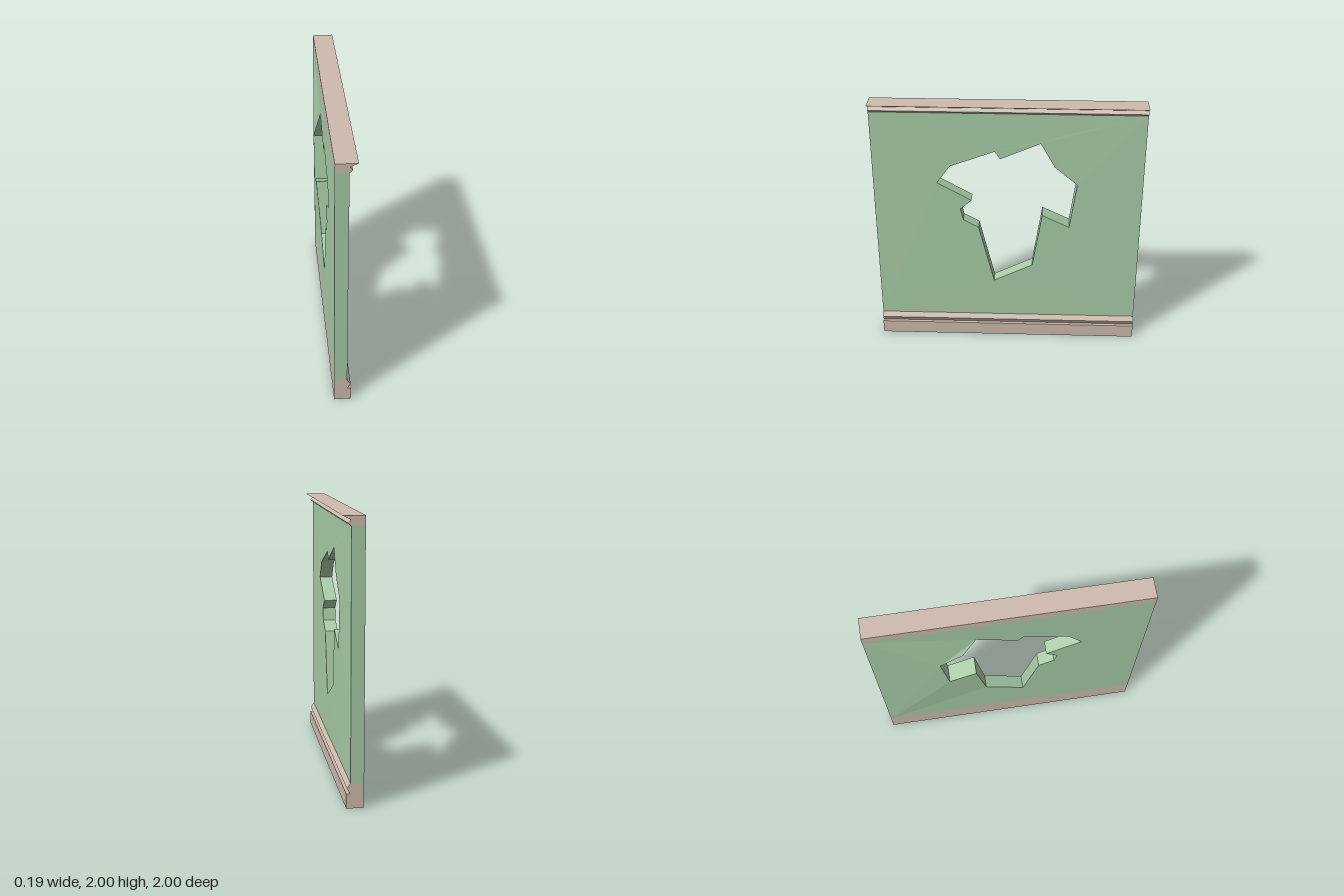
import * as THREE from 'three';

const plaster = new THREE.MeshStandardMaterial({ color: 0xa9cca7, flatShading: true });
const trim = new THREE.MeshStandardMaterial({ color: 0xcdbbad, flatShading: true });

const BACK = -0.06, FRONT = 0.034, BOTTOM = 0.18, TOP = 1.93;

// Outline of the broken opening as [z, y]
const opening = [
  [0.095, 1.63], [0.055, 1.57], [-0.24, 1.7], [-0.345, 1.51], [-0.515, 1.365],
  [-0.465, 1.0], [-0.26, 1.1], [-0.19, 0.655], [0.105, 0.505], [0.22, 0.985],
  [0.335, 1.05], [0.355, 1.145], [0.27, 1.22], [0.525, 1.365], [0.425, 1.505],
];

const toPoints = (list) => list.map(([x, y]) => new THREE.Vector2(x, y));

// Wall slab: drawn in the (-z, y) plane, extruded along x
function createPanel() {
  const shape = new THREE.Shape(toPoints([[-1, BOTTOM], [1, BOTTOM], [1, TOP], [-1, TOP]]));
  shape.holes.push(new THREE.Path(toPoints(opening.map(([z, y]) => [-z, y]))));
  const geometry = new THREE.ExtrudeGeometry(shape, { depth: FRONT - BACK, bevelEnabled: false });
  geometry.rotateY(Math.PI / 2).translate(BACK, 0, 0);

  // Push the rim of the opening outwards: a little in front, more at one side of the back
  const p = geometry.attributes.position;
  for (let i = 0; i < p.count; i++) {
    const z = p.getZ(i), y = p.getY(i);
    if (Math.abs(z) > 0.9) continue;
    if (p.getX(i) > 0) p.setX(i, FRONT + 0.004);
    else if (z < -0.25 && y < 1.6) p.setX(i, BACK - 0.034);
  }
  geometry.computeVertexNormals();
  const mesh = new THREE.Mesh(geometry, plaster);
  mesh.name = 'wallPanel';
  return mesh;
}

// Moulding: an (x, y) profile run along the full wall length
function createMoulding(name, profile) {
  const geometry = new THREE.ExtrudeGeometry(new THREE.Shape(toPoints(profile)), {
    depth: 2, bevelEnabled: false,
  });
  geometry.translate(0, 0, -1);
  const mesh = new THREE.Mesh(geometry, trim);
  mesh.name = name;
  return mesh;
}

export function createModel() {
  const group = new THREE.Group();
  group.name = 'brokenWall';
  group.add(
    createPanel(),
    createMoulding('baseboard', [
      [BACK, 0], [0.064, 0], [0.064, 0.105], [0.038, 0.105],
      [0.06, 0.145], [FRONT, BOTTOM], [BACK, BOTTOM],
    ]),
    createMoulding('crownMoulding', [
      [BACK, TOP], [FRONT, TOP], [0.056, 1.95], [0.036, 1.972], [0.092, 2], [BACK, 2],
    ]),
  );
  return group;
}
